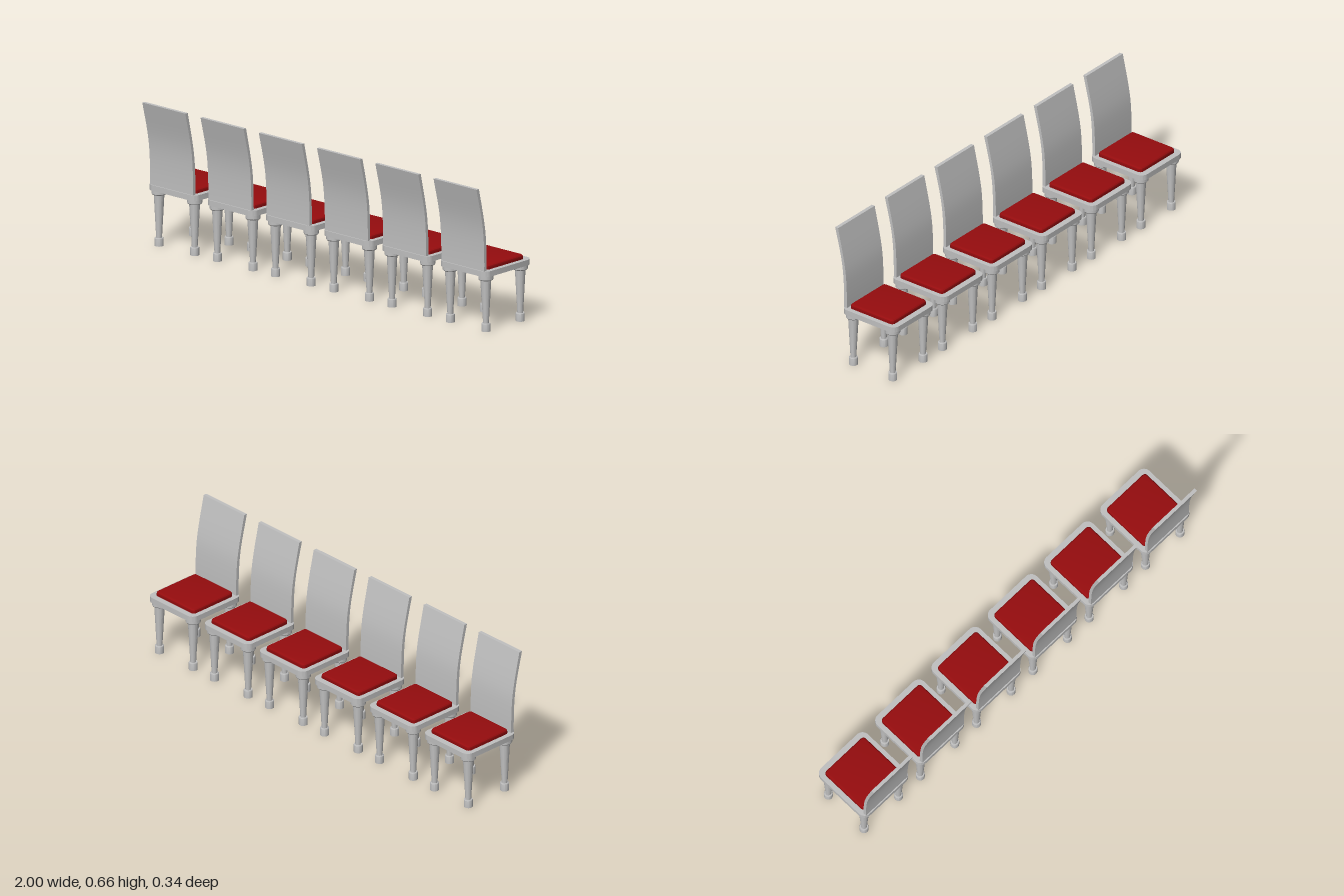
import * as THREE from 'three';
import { toCreasedNormals } from 'three/addons/utils/BufferGeometryUtils.js';

const CHAIRS = 6;
const PITCH = 0.343;

const grey = new THREE.MeshStandardMaterial({ color: 0xc0c0c0 });
grey.name = 'greyFrame';
const red = new THREE.MeshStandardMaterial({ color: 0x960c0e });
red.name = 'redCushion';

// Rounded rectangle centred on the origin
function roundedRect(w, d, r) {
  const x = w / 2, y = d / 2, s = new THREE.Shape();
  s.moveTo(-x + r, -y);
  s.lineTo(x - r, -y).absarc(x - r, -y + r, r, -Math.PI / 2, 0);
  s.lineTo(x, y - r).absarc(x - r, y - r, r, 0, Math.PI / 2);
  s.lineTo(-x + r, y).absarc(-x + r, y - r, r, Math.PI / 2, Math.PI);
  s.lineTo(-x, -y + r).absarc(-x + r, -y + r, r, Math.PI, Math.PI * 1.5);
  return s;
}

// Flat slab lying in the xz plane, rising from y = 0
function slab(shape, options) {
  const g = new THREE.ExtrudeGeometry(shape, { bevelEnabled: false, curveSegments: 6, ...options });
  return toCreasedNormals(g.rotateX(-Math.PI / 2), 0.5);
}

// Curved backrest: side profile in (z, y) swept across the width
function backrestGeometry(width) {
  const outer = [[0.1215, 0.262], [0.122, 0.357], [0.127, 0.443], [0.138, 0.518], [0.171, 0.657]];
  const inner = [[0.155, 0.657], [0.1245, 0.518], [0.1125, 0.443], [0.107, 0.357], [0.1055, 0.262]];
  const smooth = (pts) =>
    new THREE.CatmullRomCurve3(pts.map(([z, y]) => new THREE.Vector3(z, y, 0)))
      .getPoints(16).map((p) => new THREE.Vector2(p.x, p.y));
  const shape = new THREE.Shape([...smooth(outer), ...smooth(inner)]);
  const g = new THREE.ExtrudeGeometry(shape, { depth: width, bevelEnabled: false });
  g.translate(0, 0, -width / 2).rotateY(-Math.PI / 2);
  return toCreasedNormals(g, 0.5);
}

// Turned leg: foot, tapered shaft and collar
function legGeometry() {
  const profile = [
    [0, 0], [0.0195, 0], [0.0195, 0.034], [0.018, 0.037], [0.0128, 0.037],
    [0.0232, 0.232], [0.03, 0.232], [0.033, 0.236], [0.033, 0.255],
  ].map(([r, y]) => new THREE.Vector2(r, y));
  return toCreasedNormals(new THREE.LatheGeometry(profile, 24), 0.5);
}

export function createModel() {
  const model = new THREE.Group();
  model.name = 'chairRow';

  const seatGeo = slab(roundedRect(0.285, 0.297, 0.033), { depth: 0.025 });
  const cushionGeo = slab(roundedRect(0.216, 0.216, 0.004), {
    depth: 0.009, bevelEnabled: true, bevelSize: 0.012, bevelThickness: 0.012, bevelSegments: 3,
  });
  const backGeo = backrestGeometry(0.253);
  const legGeo = legGeometry();

  for (let i = 0; i < CHAIRS; i++) {
    const chair = new THREE.Group();
    chair.name = `chair${i + 1}`;
    chair.position.x = (i - (CHAIRS - 1) / 2) * PITCH;

    const add = (name, geo, mat, x, y, z) => {
      const mesh = new THREE.Mesh(geo, mat);
      mesh.name = name;
      mesh.position.set(x, y, z);
      chair.add(mesh);
    };

    add('seat', seatGeo, grey, 0, 0.254, -0.0215);
    add('cushion', cushionGeo, red, 0, 0.279, -0.022);
    add('backrest', backGeo, grey, 0, 0, 0);
    for (const [side, x] of [['left', 0.105], ['right', -0.105]]) {
      add(`${side}FrontLeg`, legGeo, grey, x, 0, 0.0875);
      add(`${side}BackLeg`, legGeo, grey, x, 0, -0.13);
    }
    model.add(chair);
  }
  // The cushion bevel starts inside the seat so only its upper edge shows
  model.traverse((o) => { if (o.name === 'cushion') o.position.y = 0.279; });
  return model;
}
